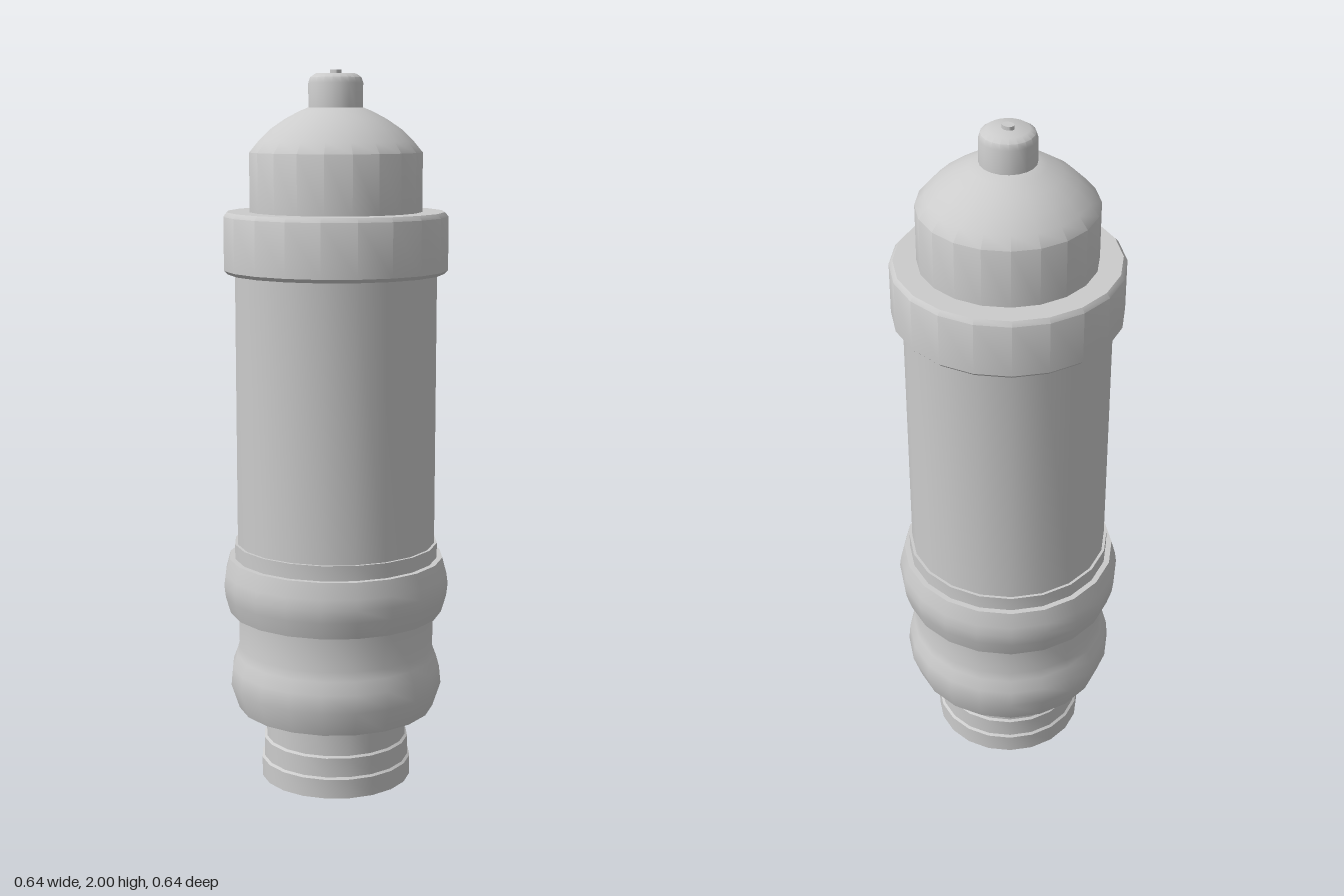
import * as THREE from 'three';
import { toCreasedNormals } from 'three/addons/utils/BufferGeometryUtils.js';

const SIDES = 20;
const material = new THREE.MeshStandardMaterial({ color: 0xcccccc });

// Turned part: profile is [radius, y] from bottom to top, closed to the axis at both ends
function turned(name, profile) {
  const points = [[0, profile[0][1]], ...profile, [0, profile[profile.length - 1][1]]]
    .map(([r, y]) => new THREE.Vector2(r, y));
  const geometry = toCreasedNormals(new THREE.LatheGeometry(points, SIDES), 0.7);
  const mesh = new THREE.Mesh(geometry, material);
  mesh.name = name;
  return mesh;
}

export function createModel() {
  const group = new THREE.Group();
  group.name = 'canister';

  group.add(
    // Stepped foot
    turned('foot', [
      [0.215, 0], [0.215, 0.055], [0.208, 0.06], [0.208, 0.115], [0.201, 0.12], [0.201, 0.22],
    ]),
    // Rounded lower collar with its neck
    turned('lowerCollar', [
      [0.28, 0.21], [0.303, 0.28], [0.298, 0.33], [0.285, 0.365], [0.278, 0.39], [0.278, 0.5],
    ]),
    // Bulging ring
    turned('bulgeRing', [
      [0.302, 0.492], [0.316, 0.54], [0.32, 0.575], [0.316, 0.605], [0.304, 0.65],
    ]),
    turned('seatRing', [[0.288, 0.64], [0.288, 0.692]]),
    // Long barrel
    turned('barrel', [[0.28, 0.68], [0.28, 1.47]]),
    // Cap ring with small bevels
    turned('capRing', [
      [0.3, 1.452], [0.31, 1.462], [0.31, 1.608], [0.3, 1.62],
    ]),
    // Dome
    turned('dome', [
      [0.238, 1.61], [0.238, 1.78], [0.213, 1.81], [0.18, 1.842],
      [0.14, 1.869], [0.1, 1.89], [0.07, 1.902],
    ]),
    // Knob and its tip
    turned('knob', [
      [0.075, 1.89], [0.075, 1.965], [0.07, 1.98], [0.055, 1.99],
    ]),
  );

  const tip = turned('tip', [[0.017, 1.98], [0.017, 2.0]]);
  tip.scale.z = 0.8;
  group.add(tip);
  return group;
}
